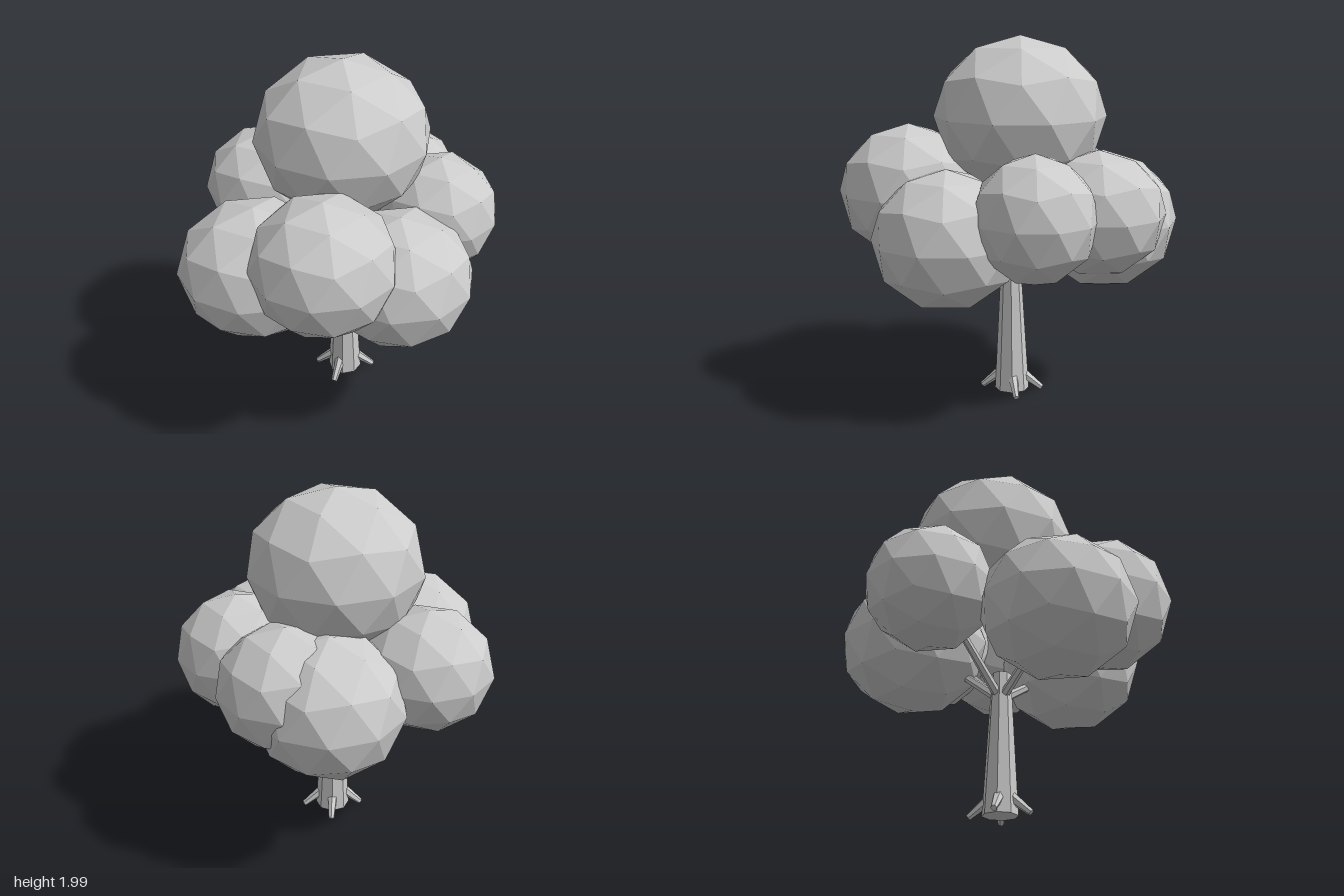
import * as THREE from 'three';

const grey = new THREE.MeshStandardMaterial({ color: 0xcccccc, flatShading: true });
grey.name = 'light grey';

// Low-poly tapered rod between two points
function rod(name, from, to, r0, r1, sides) {
  const a = new THREE.Vector3(...from);
  const b = new THREE.Vector3(...to);
  const dir = b.clone().sub(a);
  const geo = new THREE.CylinderGeometry(r1, r0, dir.length(), sides).toNonIndexed();
  geo.computeVertexNormals();
  const mesh = new THREE.Mesh(geo, grey);
  mesh.name = name;
  mesh.position.copy(a).add(b).multiplyScalar(0.5);
  mesh.quaternion.setFromUnitVectors(new THREE.Vector3(0, 1, 0), dir.normalize());
  return mesh;
}

// Faceted leaf ball with a vertex at each pole
function leafBall(name, center, radii) {
  const geo = new THREE.IcosahedronGeometry(1, 1);
  geo.rotateZ(Math.atan(2 / (1 + Math.sqrt(5))));
  geo.rotateY(Math.PI);
  geo.scale(...radii);
  geo.computeVertexNormals();
  const mesh = new THREE.Mesh(geo, grey);
  mesh.name = name;
  mesh.position.set(...center);
  return mesh;
}

export function createModel() {
  const tree = new THREE.Group();
  tree.name = 'tree';

  // Foliage: name, centre, radii
  const balls = [
    ['topFoliage', [-0.015, 1.57, -0.07], [0.475, 0.43, 0.47]],
    ['frontFoliage', [-0.02, 1.16, 0.535], [0.385, 0.37, 0.385]],
    ['frontRightFoliage', [-0.415, 0.97, 0.34], [0.42, 0.37, 0.41]],
    ['frontLeftFoliage', [0.337, 0.965, 0.315], [0.4, 0.37, 0.395]],
    ['leftFoliage', [0.505, 1.105, -0.135], [0.33, 0.335, 0.325]],
    ['backRightFoliage', [-0.485, 1.1, -0.31], [0.355, 0.33, 0.345]],
    ['backFoliage', [0.02, 1.01, -0.52], [0.405, 0.38, 0.41]],
    ['backLeftFoliage', [0.24, 1.085, -0.475], [0.36, 0.335, 0.36]],
  ];
  for (const [name, center, radii] of balls) tree.add(leafBall(name, center, radii));

  // Trunk
  tree.add(rod('trunk', [0.005, 0.02, -0.027], [0, 0.8, -0.02], 0.096, 0.052, 8));

  // Branches from the trunk top into the lower foliage
  for (const [, [x, y, z]] of balls.slice(2)) {
    const d = Math.hypot(x, z);
    const start = [0.025 * x / d, 0.67, -0.02 + 0.025 * z / d];
    tree.add(rod('branch', start, [x * 0.75, y - 0.08, z * 0.75], 0.026, 0.018, 6));
  }

  // Roots: outer tips on the ground
  const tips = [[0.17, -0.05], [-0.035, 0.14], [-0.16, -0.03], [0.01, -0.195]];
  for (const [x, z] of tips) {
    const start = [x * 0.35, 0.11, -0.02 + (z + 0.02) * 0.35];
    tree.add(rod('root', start, [x, 0.02, z], 0.03, 0.017, 6));
  }
  return tree;
}
